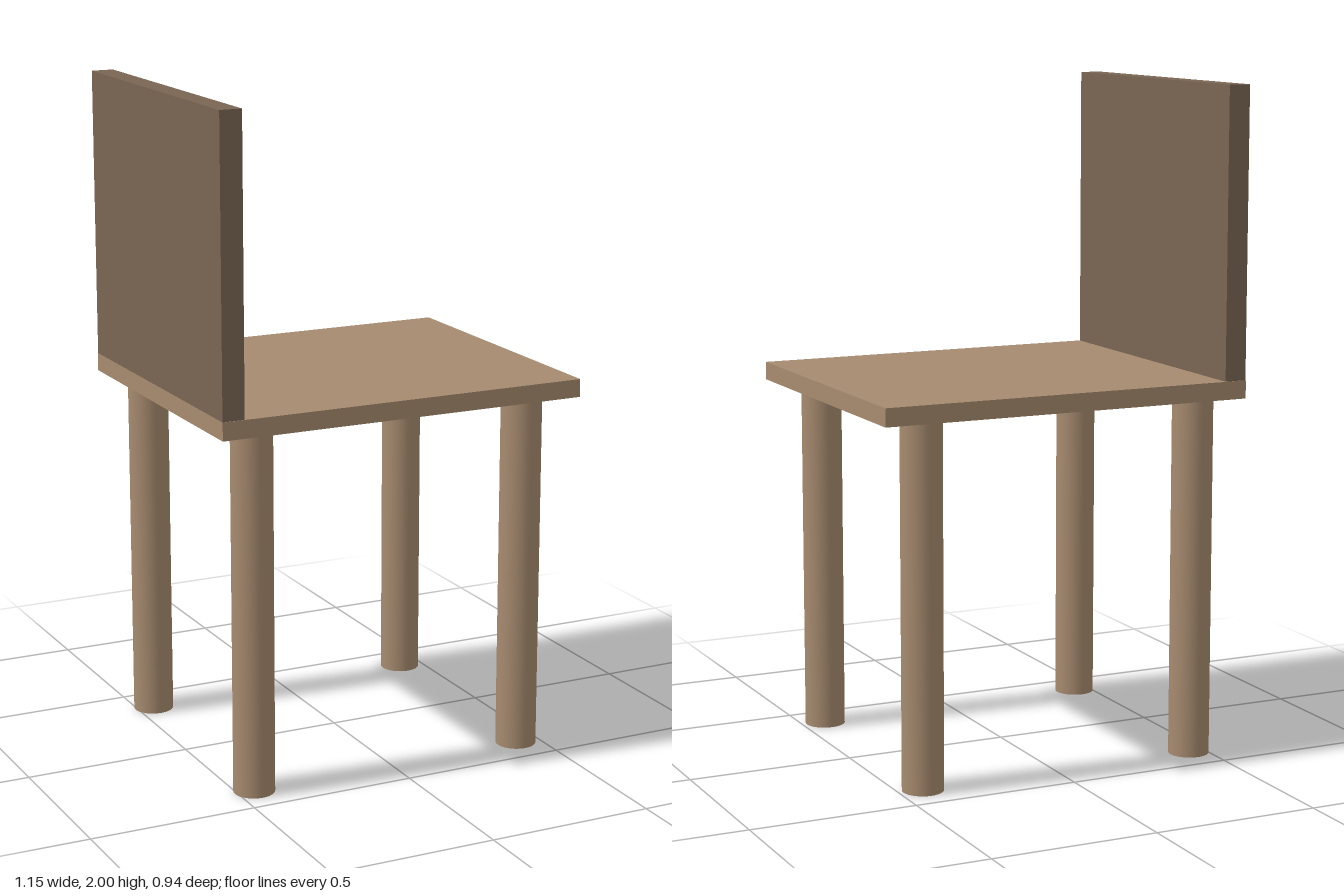
import * as THREE from 'three';

export function createModel() {
  const model = new THREE.Group();
  const lightWood = new THREE.MeshStandardMaterial({ color: 0xa68a6f });
  const darkWood = new THREE.MeshStandardMaterial({ color: 0x7a6552 });

  function addPart(name, geometry, material, x, y, z) {
    const mesh = new THREE.Mesh(geometry, material);
    mesh.name = name;
    mesh.position.set(x, y, z);
    model.add(mesh);
  }

  const seatBottom = 1.084, seatTop = 1.138, topY = 2;

  // Flat seat board
  addPart('seat', new THREE.BoxGeometry(1.146, seatTop - seatBottom, 0.94), lightWood,
    0, (seatBottom + seatTop) / 2, 0);

  // Upright backrest along the -x edge of the seat
  addPart('backrest', new THREE.BoxGeometry(0.067, topY - seatTop, 0.936), darkWood,
    -0.539, (seatTop + topY) / 2, 0);

  // Four round legs, set slightly off centre under the seat
  const legGeometry = new THREE.CylinderGeometry(0.061, 0.061, seatBottom, 32);
  for (const [xName, x] of [['Right', -0.447], ['Left', 0.426]]) {
    for (const [zName, z] of [['front', 0.383], ['back', -0.378]]) {
      addPart(`${zName}${xName}Leg`, legGeometry, lightWood, x, seatBottom / 2, z);
    }
  }

  return model;
}
